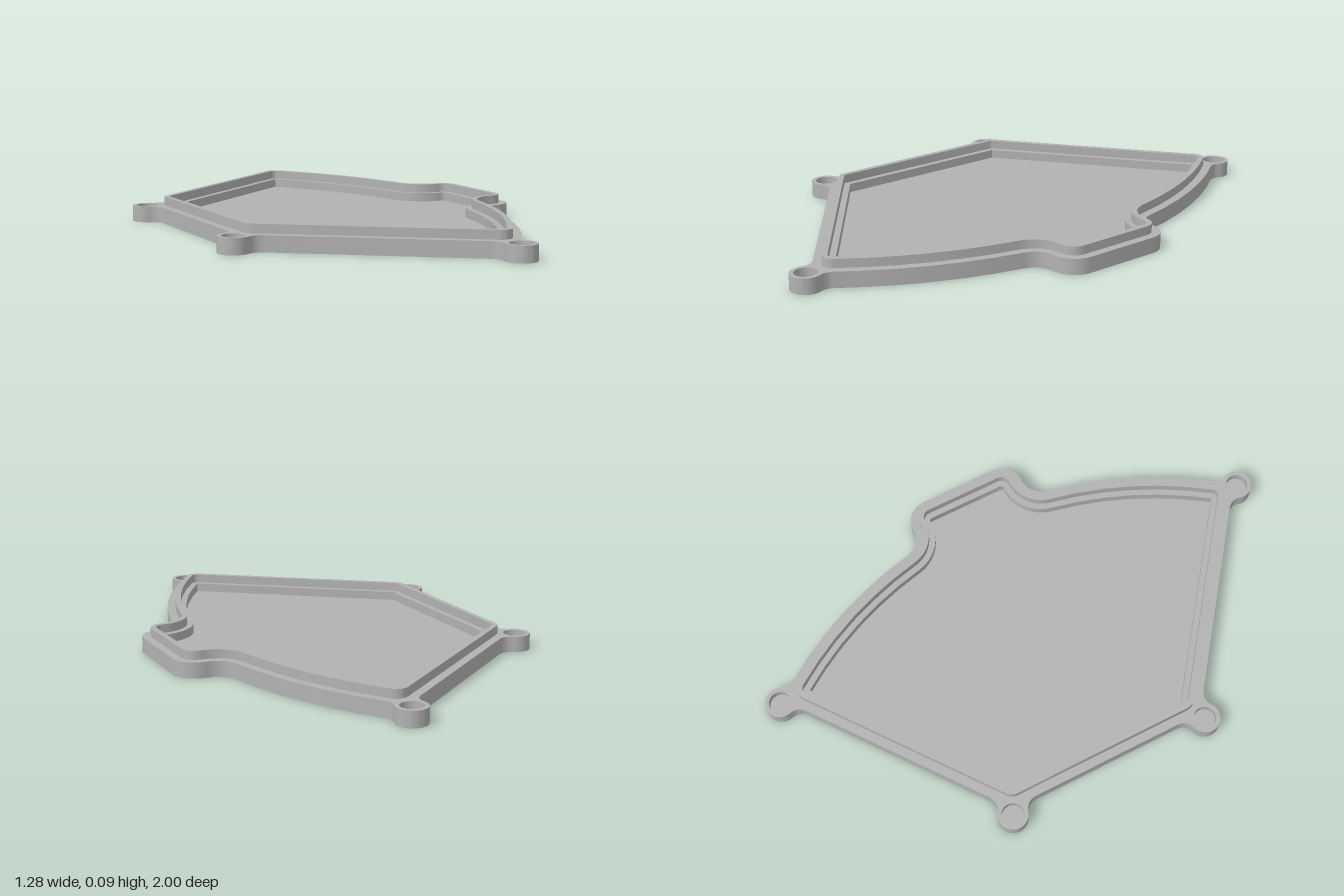
import * as THREE from 'three';
import { toCreasedNormals } from 'three/addons/utils/BufferGeometryUtils.js';

const V = (x, y) => new THREE.Vector2(x, y);
const FLOOR = 0.025, RIM = 0.057, TOP = 0.089;   // heights
const WALL = 0.073;                              // outer edge to cavity
const EDGE = 0.643, LEFT = 0.565;                // distances of the straight edges
const O = V(-0.994, 0), R = 1.49;                // large curved side
const C = V(0.552, 0.143), K = V(0.5455, 0.308); // tab corner and neck centres
const T = V(0.154, 0.8315), A = V(-0.492, 0.342); // cavity corners
const SLANT = V(-0.604, 0.797).normalize();      // normal of the slanted edge
const BOSS_R = 0.055, HOLE_R = 0.04, FILLET = 0.05;
const bosses = [V(0.16, 0.945), V(-0.587, 0.386)];

const angle = (from, to) => Math.atan2(to.y - from.y, to.x - from.x);

// Arc points, going counter-clockwise (dir 1) or clockwise (dir -1)
function arc(c, r, a0, a1, dir = 1) {
  let sweep = (a1 - a0) * dir;
  while (sweep < 0) sweep += Math.PI * 2;
  while (sweep > Math.PI * 2) sweep -= Math.PI * 2;
  if (r < 1e-4) return [c.clone()];
  const n = Math.max(6, Math.ceil(sweep / 0.16));
  return Array.from({ length: n + 1 }, (_, i) => {
    const a = a0 + (dir * sweep * i) / n;
    return V(c.x + r * Math.cos(a), c.y + r * Math.sin(a));
  });
}

// Centre of the fillet between a boss and a straight edge
function lineFillet(b, n, dist, side) {
  const h = dist + FILLET - n.dot(b);
  const s = side * Math.sqrt((BOSS_R + FILLET) ** 2 - h * h);
  return V(b.x + n.x * h - n.y * s, b.y + n.y * h + n.x * s);
}

// Centre of the fillet between a boss and the curved side
function curveFillet(b) {
  const D = b.distanceTo(O), r1 = R + FILLET, r2 = BOSS_R + FILLET;
  const u = b.clone().sub(O).divideScalar(D);
  const a = (D * D + r1 * r1 - r2 * r2) / (2 * D), h = Math.sqrt(r1 * r1 - a * a);
  return V(O.x + u.x * a + u.y * h, O.y + u.y * a - u.x * h);
}

// Mirror half an outline and drop repeated points
function closeOutline(half) {
  const all = [...half, ...half.slice().reverse().map(p => V(p.x, -p.y))];
  return all.filter((p, i) => p.distanceTo(all[(i + 1) % all.length]) > 1e-4);
}

const tabAndNeck = d => [
  ...arc(C, 0.085 - d, 0, Math.PI / 2),
  ...arc(K, 0.08 + d, -Math.PI / 2, angle(K, O), -1),
];

// Outline inset by d, without the bosses
function insetOutline(d) {
  const phi = SLANT.angle(), tip = angle(O, T);
  return closeOutline([
    ...tabAndNeck(d),
    ...arc(O, R - d, angle(O, K), tip),
    ...arc(T, WALL - d, tip, phi),
    ...arc(A, WALL - d, phi, Math.PI),
  ]);
}

// Full outer outline with filleted screw bosses
function outerOutline() {
  const [b1, b2] = bosses, inward = SLANT.angle() + Math.PI;
  const f1 = curveFillet(b1), f2 = lineFillet(b1, SLANT, EDGE, 1);
  const f3 = lineFillet(b2, SLANT, EDGE, -1), f4 = lineFillet(b2, V(-1, 0), LEFT, 1);
  return closeOutline([
    ...tabAndNeck(0),
    ...arc(O, R, angle(O, K), angle(O, f1)),
    ...arc(f1, FILLET, angle(f1, O), angle(f1, b1), -1),
    ...arc(b1, BOSS_R, angle(b1, f1), angle(b1, f2)),
    ...arc(f2, FILLET, angle(f2, b1), inward, -1),
    ...arc(f3, FILLET, inward, angle(f3, b2), -1),
    ...arc(b2, BOSS_R, angle(b2, f3), angle(b2, f4)),
    ...arc(f4, FILLET, angle(f4, b2), 0, -1),
  ]);
}

export function createModel() {
  const group = new THREE.Group();
  group.name = 'coverTray';
  const grey = new THREE.MeshStandardMaterial({ color: 0xb2b2b2 });
  grey.name = 'grey';

  function slab(name, outline, holes, y0, y1) {
    const shape = new THREE.Shape(outline);
    shape.holes = holes.map(h => new THREE.Path(h));
    const geo = new THREE.ExtrudeGeometry(shape, { depth: y1 - y0, bevelEnabled: false });
    geo.rotateX(-Math.PI / 2).translate(0, y0, 0);
    const mesh = new THREE.Mesh(toCreasedNormals(geo, 0.5), grey);
    mesh.name = name;
    group.add(mesh);
  }

  // Blind screw holes in all four bosses
  const screwHoles = bosses.flatMap(b => [1, -1].map(s =>
    arc(V(b.x, s * b.y), HOLE_R, 0, Math.PI * 1.9999).slice(0, -1)));

  const outer = outerOutline();
  slab('floor', outer, [], 0, FLOOR);
  slab('rimWithBosses', outer, [insetOutline(WALL), ...screwHoles], FLOOR, RIM);
  slab('raisedLip', insetOutline(0.031), [insetOutline(0.051)], RIM, TOP);
  return group;
}
